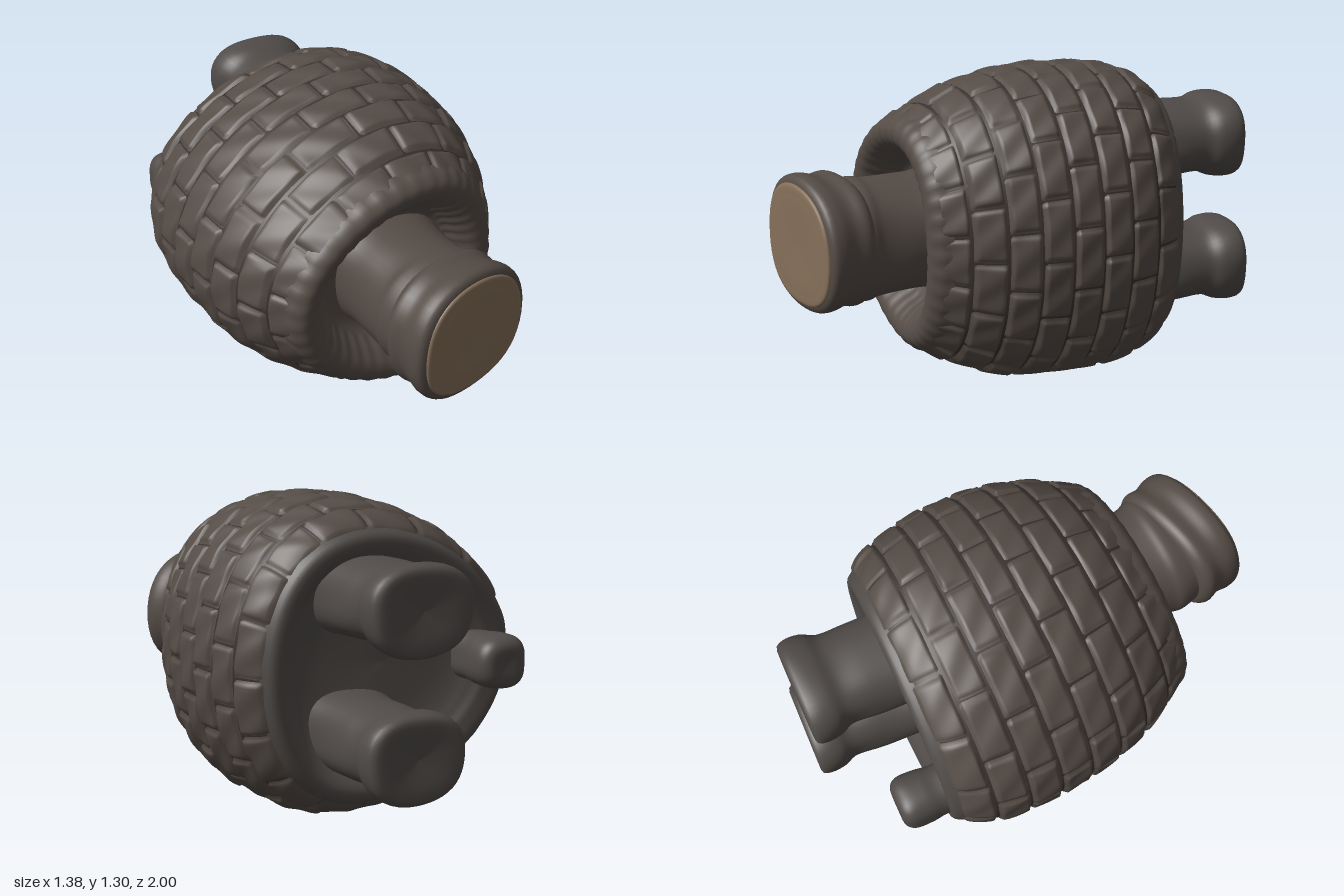
import * as THREE from 'three';

const mat = (color) => new THREE.MeshStandardMaterial({ color, roughness: 0.95, side: THREE.DoubleSide });
const stone = mat(0x554c46);
const mortar = mat(0x38312d);
const legStone = mat(0x504b48);
const wood = mat(0x86705a);

// Repeatable value in -1..1 for a pair of integers
const hash = (a, b) => {
  const v = Math.sin(a * 127.1 + b * 311.7) * 43758.5453;
  return 2 * (v - Math.floor(v)) - 1;
};

// Lathe around +z through smooth [radius, along] points
function turned(profile, samples, segments) {
  const pts = profile.map(([r, s]) => new THREE.Vector3(r, s, 0));
  const path = new THREE.CatmullRomCurve3(pts, false, 'centripetal').getSpacedPoints(samples);
  const geo = new THREE.LatheGeometry(path.map((p) => new THREE.Vector2(Math.max(p.x, 0), p.y)), segments);
  return geo.rotateX(Math.PI / 2);
}

// Move every vertex radially by rule(angle, along, radius)
function displace(geo, rule) {
  const pos = geo.attributes.position;
  for (let i = 0; i < pos.count; i++) {
    const x = pos.getX(i), y = pos.getY(i), z = pos.getZ(i);
    const r = Math.hypot(x, y);
    if (r < 1e-4) continue;
    const k = 1 + rule(Math.atan2(y, x), z, r) / r;
    pos.setXY(i, x * k, y * k);
  }
  geo.computeVertexNormals();
  return geo;
}

// Egg-shaped body: crown moved to +x, ends tilted towards each other at +x;
// floorTilt sinks a recessed floor towards +x
function skew(geo, floorTilt = 0) {
  const pos = geo.attributes.position;
  for (let i = 0; i < pos.count; i++) {
    const x = pos.getX(i), y = pos.getY(i), z = pos.getZ(i);
    const r = Math.hypot(x, y) + 1e-6;
    const shift = 0.1 * (y / r) ** 2 * Math.min(1, r / 0.45);
    const sink = floorTilt * x * (1 - THREE.MathUtils.smoothstep(r, 0.38, 0.5));
    pos.setXYZ(i, x + shift, y * 0.982, z * (0.965 - 0.11 * x) + sink);
  }
  geo.computeVertexNormals();
  return geo;
}

function part(name, geo, material) {
  const mesh = new THREE.Mesh(geo, material);
  mesh.name = name;
  return mesh;
}

// Turned piece with slightly squared section, standing at 'from' and pointing towards 'to'
function stump(name, from, to, profile, material, scaleX, wobble = 0.006) {
  const geo = displace(turned(profile, 48, 48), (a, z, r) =>
    Math.min(1, r / 0.1) * wobble * (0.6 * Math.sin(a * 3 + z * 12) - Math.cos(4 * a)));
  const mesh = part(name, geo, material);
  mesh.position.set(...from);
  mesh.lookAt(...to);
  mesh.scale.x = scaleX;
  return mesh;
}

// Brick relief: staggered courses with rounded edges and sunken joints
const COURSE = 0.138, BRICKS = 16;
function brickRelief(angle, s, r) {
  const row = Math.floor((s + 0.55) / COURSE);
  const u = (s + 0.55) / COURSE - row;
  const turn = (angle / (2 * Math.PI) + 1) * BRICKS + (row % 2 ? 0.5 : 0);
  const col = Math.floor(turn + 1e-5);
  const v = turn - col;
  const dRow = Math.min(u, 1 - u) * COURSE;
  const dCol = Math.min(v, 1 - v) * (2 * Math.PI * r) / BRICKS;
  const rise = THREE.MathUtils.smoothstep(Math.min(dRow, dCol), 0.001, 0.018);
  const own = hash(row, col % BRICKS) * 0.005 + 0.003 * Math.sin(angle * 23 + s * 31);
  return -0.014 + rise * (0.017 + own);
}

export function createModel() {
  const model = new THREE.Group();
  model.name = 'brickPot';

  // Body axis is turned a little towards +x
  const body = new THREE.Group();
  body.name = 'body';
  body.position.set(0.03, 0.64, -0.01);
  body.rotation.y = 0.285;
  model.add(body);

  const shell = [[0.535, -0.565], [0.592, -0.5], [0.635, -0.38], [0.655, -0.22], [0.655, -0.06],
    [0.638, 0.12], [0.592, 0.29], [0.535, 0.42], [0.475, 0.52]];
  body.add(part('brickShell', skew(displace(turned(shell, 125, 256), brickRelief)), stone));
  const core = shell.map(([r, s]) => [r - 0.01, s]);
  body.add(part('mortarCore', skew(turned(core, 40, 96)), mortar));

  // Broad rounded rims with sunken floors
  const frontRim = [[0.495, 0.48], [0.475, 0.53], [0.435, 0.562], [0.385, 0.555], [0.34, 0.51],
    [0.305, 0.45], [0.265, 0.41], [0, 0.4]];
  const backRim = [[0, -0.47], [0.32, -0.475], [0.4, -0.5], [0.45, -0.55], [0.495, -0.577],
    [0.535, -0.572], [0.565, -0.525]];
  const flute = (a, s, r) => (r > 0.3 ? 0.003 * Math.sin(a * 40) : 0);
  body.add(part('frontRim', skew(displace(turned(frontRim, 50, 160), flute)), stone));
  body.add(part('backRim', skew(turned(backRim, 50, 96), 0.14), legStone));

  // Neck, lip and end face
  body.add(stump('neck', [0.05, 0, 0.34], [0.065, 0, 0.8],
    [[0.26, 0], [0.238, 0.1], [0.235, 0.2], [0.24, 0.32], [0.25, 0.36], [0.24, 0.45]], stone, 1.05));
  const lipFrom = [0.047, 0.005, 0.74], lipTo = [0.09, 0.005, 0.94];
  body.add(stump('lip', lipFrom, lipTo,
    [[0.2, -0.01], [0.25, 0], [0.274, 0.03], [0.268, 0.09], [0.28, 0.15], [0.274, 0.19], [0.245, 0.205], [0, 0.2]],
    stone, 1.06));
  body.add(stump('endFace', lipFrom, lipTo,
    [[0.25, 0.195], [0.247, 0.21], [0.2, 0.215], [0, 0.212]], wood, 1.06));

  // Two thick legs and one small leg at the back
  const thick = [[0.18, 0], [0.165, 0.12], [0.16, 0.3], [0.158, 0.42], [0.177, 0.47],
    [0.182, 0.54], [0.17, 0.575], [0.135, 0.58], [0, 0.565]];
  const small = [[0.12, 0], [0.108, 0.15], [0.105, 0.24], [0.112, 0.3], [0.108, 0.38], [0.08, 0.41], [0, 0.41]];
  body.add(stump('upperLeg', [0.085, 0.285, -0.35], [0.128, 0.295, -0.94], thick, legStone, 1.25));
  body.add(stump('lowerLeg', [0.11, -0.265, -0.375], [0.165, -0.255, -0.965], thick, legStone, 1.18));
  body.add(stump('smallLeg', [-0.42, 0, -0.36], [-0.39, 0, -0.78], small, legStone, 1.02, 0.005));

  return model;
}
